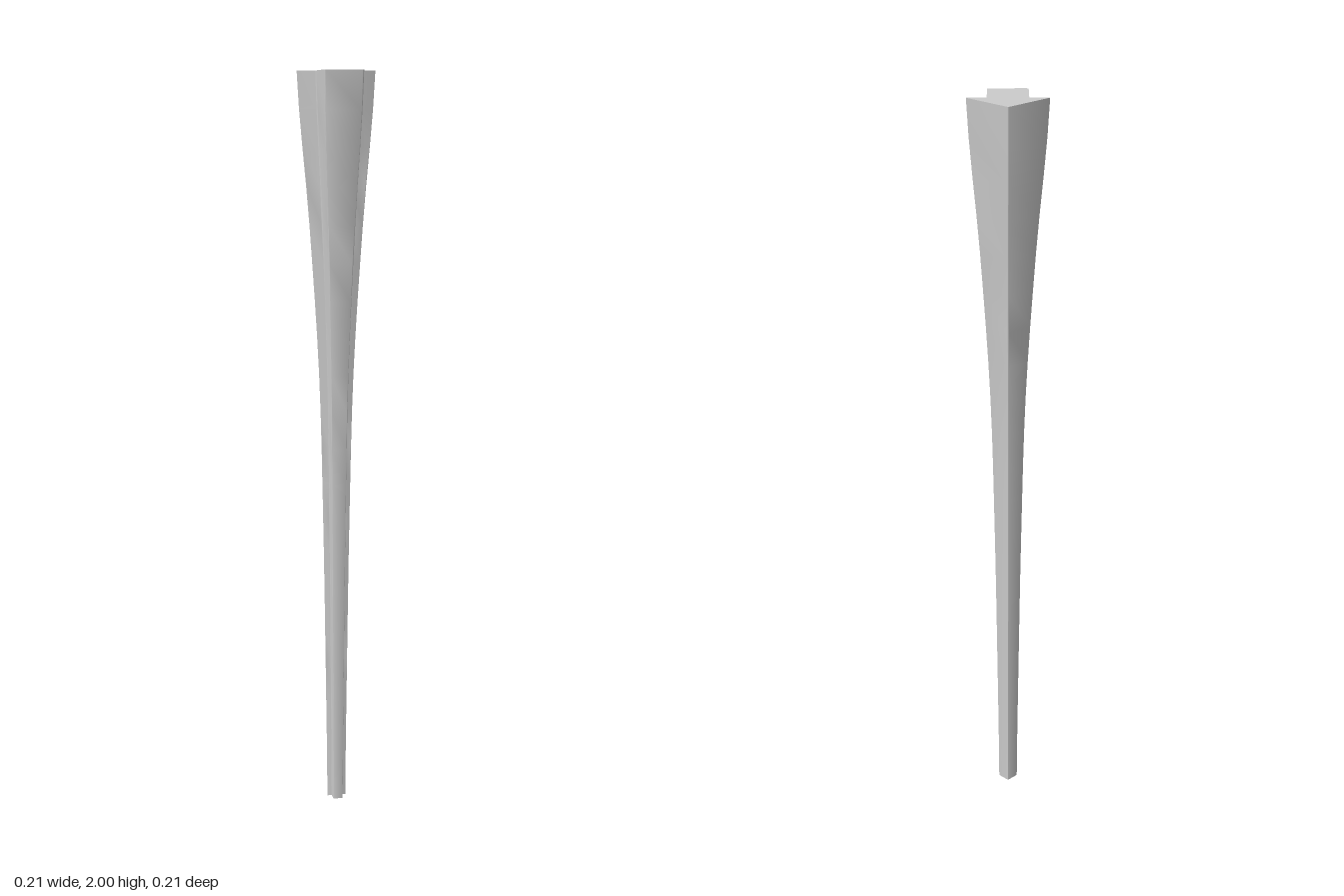
import * as THREE from 'three';
import { toCreasedNormals } from 'three/addons/utils/BufferGeometryUtils.js';

// Closed outline with softly rounded corners
function roundedOutline(corners, r) {
  const pts = corners.map(([x, y]) => new THREE.Vector2(x, y));
  const shape = new THREE.Shape();
  pts.forEach((p, i) => {
    const prev = pts[(i + pts.length - 1) % pts.length];
    const next = pts[(i + 1) % pts.length];
    const a = prev.clone().sub(p).setLength(r).add(p);
    const b = next.clone().sub(p).setLength(r).add(p);
    if (i === 0) shape.moveTo(a.x, a.y);
    else shape.lineTo(a.x, a.y);
    shape.quadraticCurveTo(p.x, p.y, b.x, b.y);
  });
  shape.closePath();
  return shape;
}

export function createModel() {
  const group = new THREE.Group();
  group.name = 'taperedLeg';

  // Arrow-shaped cross-section at full size, tip towards the back
  const section = roundedOutline([
    [0.053, -0.106], [0.053, 0.003], [0.107, 0.003], [0, 0.11],
    [-0.107, 0.003], [-0.053, 0.003], [-0.053, -0.106],
  ], 0.005);
  const geometry = new THREE.ExtrudeGeometry(section, {
    depth: 2, steps: 20, curveSegments: 4, bevelEnabled: false,
  });
  geometry.rotateX(-Math.PI / 2);

  // Taper: slender below, flaring towards the top (x = height, y = scale)
  const taper = new THREE.SplineCurve([
    [0, 0.245], [0.4, 0.29], [0.8, 0.35], [1.2, 0.45], [1.6, 0.69], [2, 1],
  ].map(([h, s]) => new THREE.Vector2(h, s)));
  const pos = geometry.attributes.position;
  for (let i = 0; i < pos.count; i++) {
    const s = taper.getPoint(Math.min(1, Math.max(0, pos.getY(i) / 2))).y;
    pos.setX(i, pos.getX(i) * s);
    pos.setZ(i, pos.getZ(i) * s);
  }

  const leg = new THREE.Mesh(
    toCreasedNormals(geometry, 0.7),
    new THREE.MeshStandardMaterial({ color: 0xcccccc }),
  );
  leg.name = 'legShaft';
  group.add(leg);
  return group;
}
